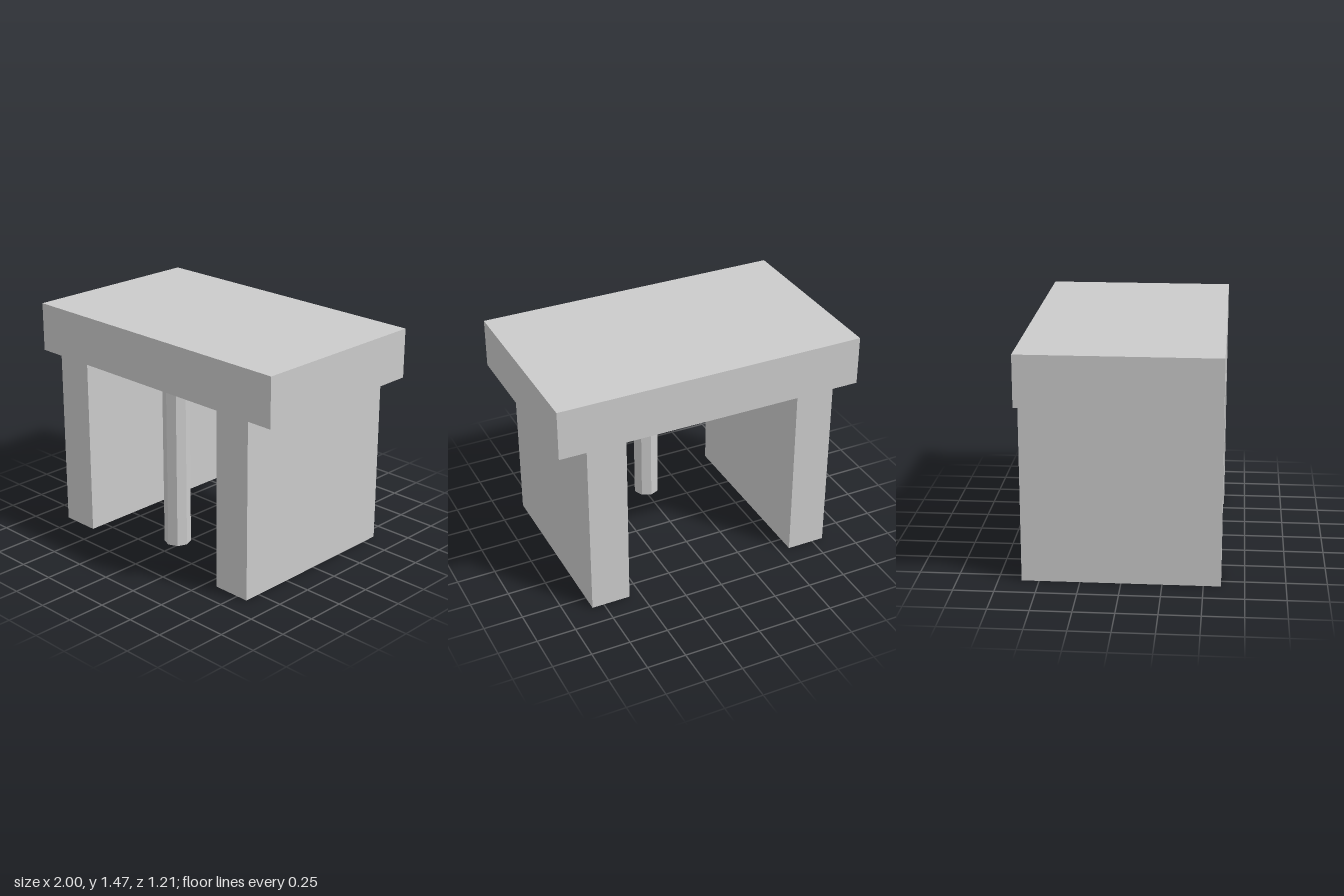
import * as THREE from 'three';

export function createModel() {
  const model = new THREE.Group();
  const material = new THREE.MeshStandardMaterial({ color: 0xcccccc, flatShading: true });

  const depth = 1.214, height = 1.47, underside = 1.153;
  const legOuter = 0.827, legInner = 0.575;

  // Slab top and two wall legs, as one extruded outline
  const right = [[legInner, underside], [legInner, 0], [legOuter, 0], [legOuter, underside], [1, underside], [1, height]];
  const left = right.map(([x, y]) => [-x, y]).reverse();
  const outline = new THREE.Shape([...right, ...left].map(([x, y]) => new THREE.Vector2(x, y)));
  const bodyGeometry = new THREE.ExtrudeGeometry(outline, { depth, bevelEnabled: false });
  bodyGeometry.translate(0, 0, -depth / 2);
  const body = new THREE.Mesh(bodyGeometry, material);
  body.name = 'topAndLegs';
  model.add(body);

  // Eight-sided post hanging from the underside near the front
  const postBottom = 0.035, postLength = underside - postBottom;
  const post = new THREE.Mesh(new THREE.CylinderGeometry(0.085, 0.085, postLength, 8), material);
  post.name = 'hangingPost';
  post.position.set(0, postBottom + postLength / 2, 0.38);
  model.add(post);

  return model;
}
